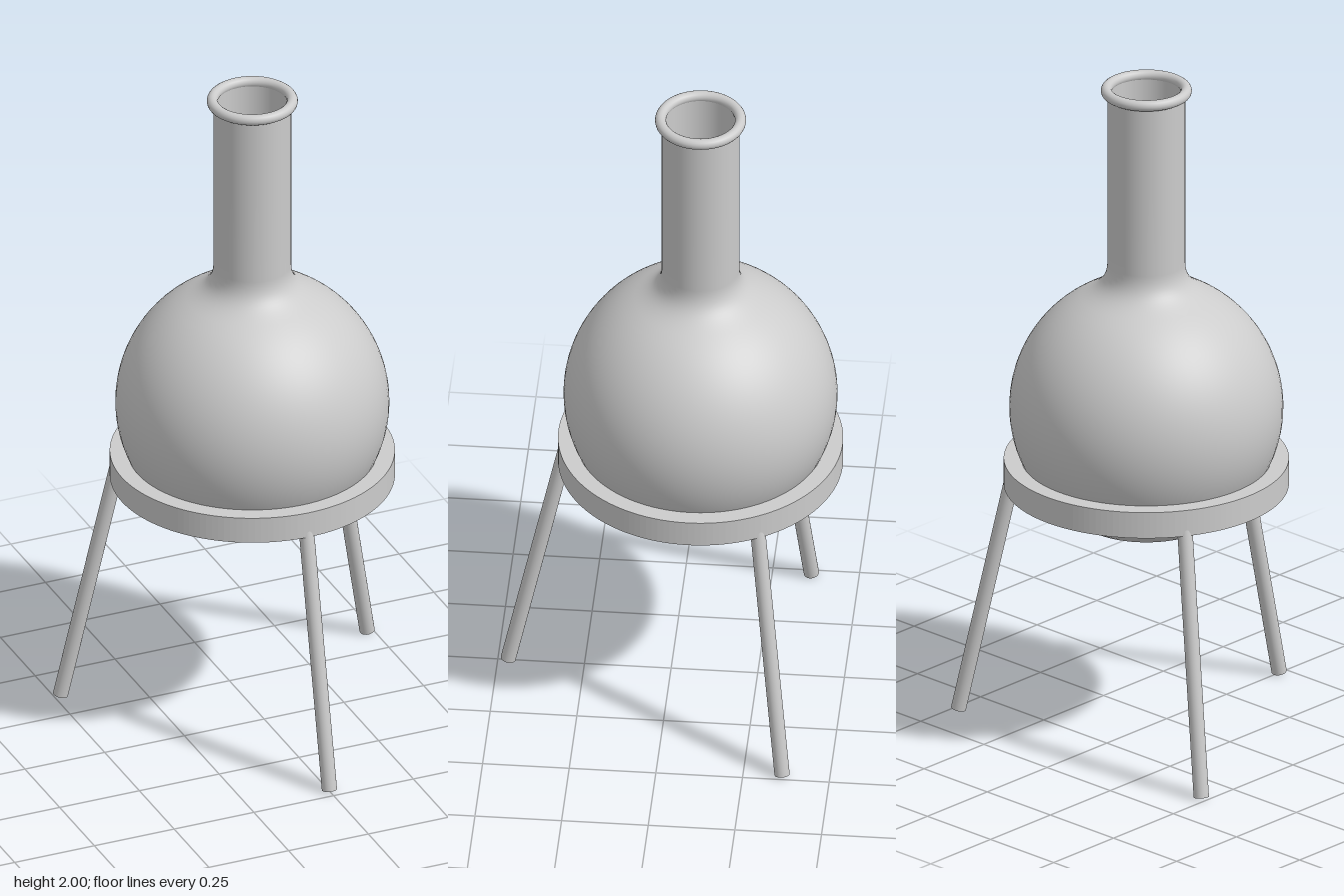
import * as THREE from 'three';

const material = new THREE.MeshStandardMaterial({ color: 0xcccccc, side: THREE.DoubleSide });

function addMesh(parent, name, geometry) {
  const mesh = new THREE.Mesh(geometry, material);
  mesh.name = name;
  parent.add(mesh);
  return mesh;
}

const v = (x, y) => new THREE.Vector2(x, y);

// Wall of the flask: flat base, round bulb, flared shoulder, straight neck
function flaskWall(inset) {
  const radius = 0.394 - inset, centreY = 1.0, neck = 0.112 - inset, base = 0.634 + inset;
  const points = [v(0, base), v(0.06, base), v(0.115, base), v(0.15, base + 0.006)];
  const start = -1.06, end = 1.03;
  for (let i = 0; i <= 36; i++) {
    const a = start + (end - start) * i / 36;
    points.push(v(radius * Math.cos(a), centreY + radius * Math.sin(a)));
  }
  // Shoulder blends the bulb into the neck
  const from = points[points.length - 1];
  const shoulder = new THREE.CubicBezierCurve(
    from, v(from.x - 0.05, from.y + 0.03), v(neck, 1.385), v(neck, 1.45));
  points.push(...shoulder.getPoints(12).slice(1), v(neck, 1.7), v(neck, 1.985));
  return points;
}

// Straight rod between two points
function rod(from, to, radius) {
  const direction = to.clone().sub(from);
  const geometry = new THREE.CylinderGeometry(radius, radius, direction.length(), 24);
  geometry.applyQuaternion(new THREE.Quaternion().setFromUnitVectors(
    new THREE.Vector3(0, 1, 0), direction.normalize()));
  const mid = from.clone().add(to).multiplyScalar(0.5);
  return geometry.translate(mid.x, mid.y, mid.z);
}

export function createModel() {
  const model = new THREE.Group();
  model.name = 'flaskOnTripod';

  // Glass flask with an open neck
  const flask = new THREE.Group();
  flask.name = 'flask';
  addMesh(flask, 'flaskOuterWall', new THREE.LatheGeometry(flaskWall(0), 72));
  addMesh(flask, 'flaskInnerWall', new THREE.LatheGeometry(flaskWall(0.01).reverse(), 72));
  const lip = addMesh(flask, 'flaskLip', new THREE.TorusGeometry(0.115, 0.016, 16, 64));
  lip.rotation.x = Math.PI / 2;
  lip.position.y = 1.984;
  model.add(flask);

  // Tripod stand: flat ring and three splayed legs
  const stand = new THREE.Group();
  stand.name = 'tripodStand';
  const ring = new THREE.Shape().absarc(0, 0, 0.41, 0, Math.PI * 2);
  ring.holes.push(new THREE.Path().absarc(0, 0, 0.36, 0, Math.PI * 2, true));
  const ringGeometry = new THREE.ExtrudeGeometry(ring, { depth: 0.08, bevelEnabled: false, curveSegments: 72 });
  ringGeometry.rotateX(-Math.PI / 2).translate(0, 0.76, 0);
  addMesh(stand, 'supportRing', ringGeometry);
  for (let i = 0; i < 3; i++) {
    const leg = addMesh(stand, 'leg' + (i + 1),
      rod(new THREE.Vector3(0, 0.005, 0.555), new THREE.Vector3(0, 0.79, 0.385), 0.022));
    leg.rotation.y = i * Math.PI * 2 / 3;
  }
  model.add(stand);

  // Shift so the splayed feet are centred
  flask.position.z = stand.position.z = -0.085;
  return model;
}
